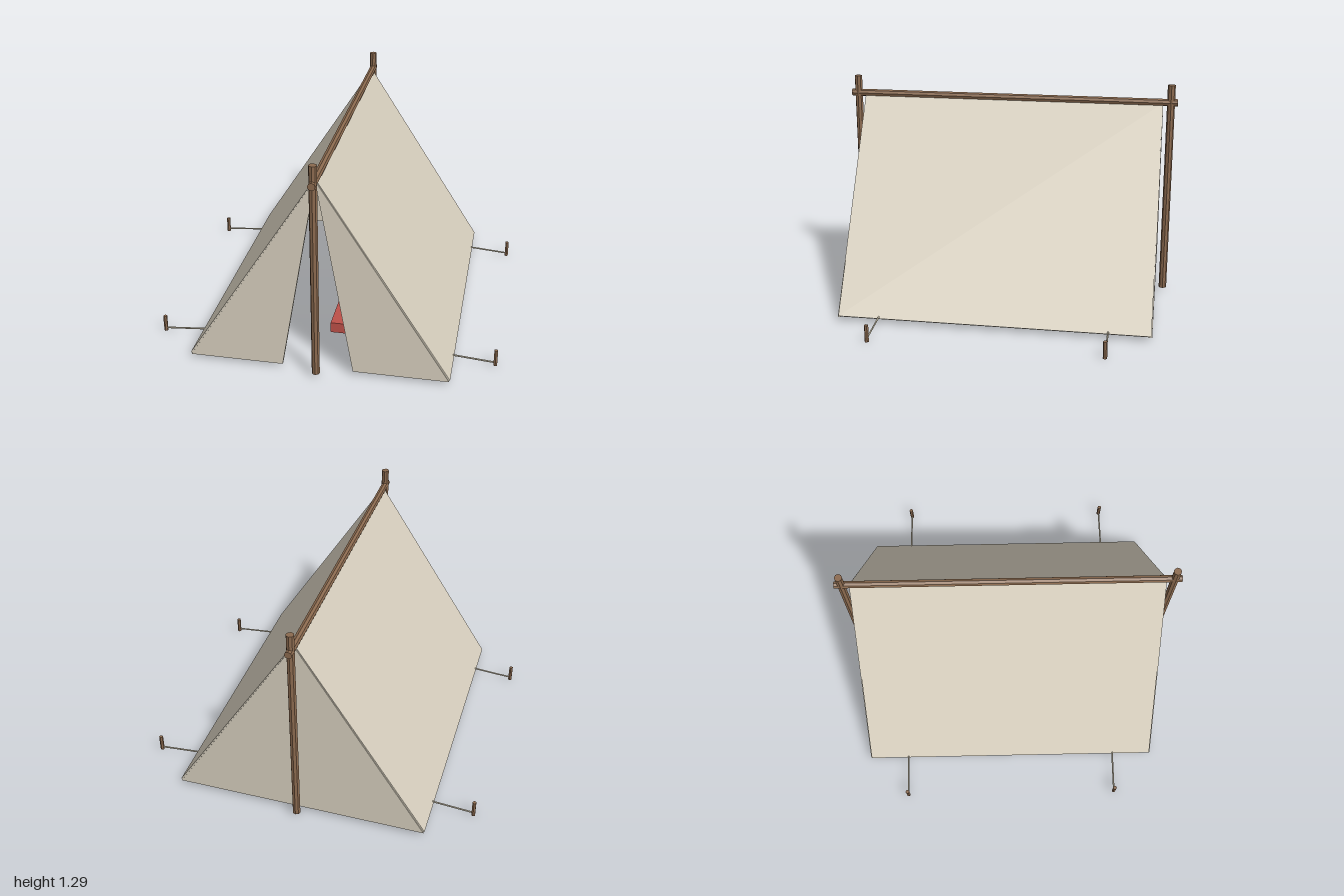
import * as THREE from 'three';

const mat = (name, color) => {
  const m = new THREE.MeshStandardMaterial({ color });
  m.name = name;
  return m;
};

export function createModel() {
  const group = new THREE.Group();
  const canvas = mat('canvas', 0xd8d0bf);
  const wood = mat('wood', 0x8b6a4f);
  const rope = mat('rope', 0xcdc3ab);
  const red = mat('red blanket', 0xbd5049);
  wood.flatShading = true;

  const add = (name, geometry, material, parent = group) => {
    const mesh = new THREE.Mesh(geometry, material);
    mesh.name = name;
    parent.add(mesh);
    return mesh;
  };

  // Round bar between two points
  const bar = (name, a, b, radius, sides, material) => {
    const from = new THREE.Vector3(...a), to = new THREE.Vector3(...b);
    const dir = to.clone().sub(from);
    const mesh = add(name, new THREE.CylinderGeometry(radius, radius, dir.length(), sides), material);
    mesh.position.copy(from).add(to).multiplyScalar(0.5);
    mesh.quaternion.setFromUnitVectors(new THREE.Vector3(0, 1, 0), dir.normalize());
    return mesh;
  };

  // Flat cloth cut from corner points, with a little thickness
  const cloth = (name, points, z) => {
    const shape = new THREE.Shape(points.map(p => new THREE.Vector2(...p)));
    const geometry = new THREE.ExtrudeGeometry(shape, { depth: 0.018, bevelEnabled: false });
    add(name, geometry, canvas).position.z = z;
  };

  // Timber frame
  bar('frontPole', [0, 0.02, 0.95], [0, 1.295, 0.95], 0.023, 8, wood);
  bar('backPole', [0, 0.02, -0.95], [0, 1.295, -0.95], 0.023, 8, wood);
  bar('ridgePole', [0, 1.19, -0.99], [0, 1.19, 0.99], 0.022, 8, wood);

  // Sloping roof cloths, front flaps, guy ropes and stakes on both sides
  const foot = 0.742, footY = 0.025, ridgeY = 1.18;
  for (const s of [1, -1]) {
    const side = s > 0 ? 'left' : 'right';
    const length = Math.hypot(foot, ridgeY - footY);
    const roof = add(side + 'RoofCloth', new THREE.BoxGeometry(0.02, length, 1.8), canvas);
    roof.position.set(s * foot / 2, (ridgeY + footY) / 2, 0);
    roof.rotation.z = s * Math.atan2(foot, ridgeY - footY);

    cloth(side + 'FrontFlap', [[0, 1.19], [s * 0.745, 0.022], [s * 0.203, 0.022]], 0.887);

    for (const z of [0.66, -0.66]) {
      bar(side + 'Stake', [s * 0.987, 0, z], [s * 0.987, 0.1, z], 0.012, 6, wood);
      bar(side + 'GuyRope', [s * 0.74, 0.038, z], [s * 0.985, 0.018, z], 0.005, 6, rope);
    }
  }

  // Closed back wall
  cloth('backWall', [[0, 1.19], [-0.745, 0.022], [0.745, 0.022]], -0.905);

  // Bedroll lying along one side
  add('bedroll', new THREE.BoxGeometry(0.49, 0.065, 1.24), red).position.set(0.245, 0.053, -0.09);

  return group;
}
